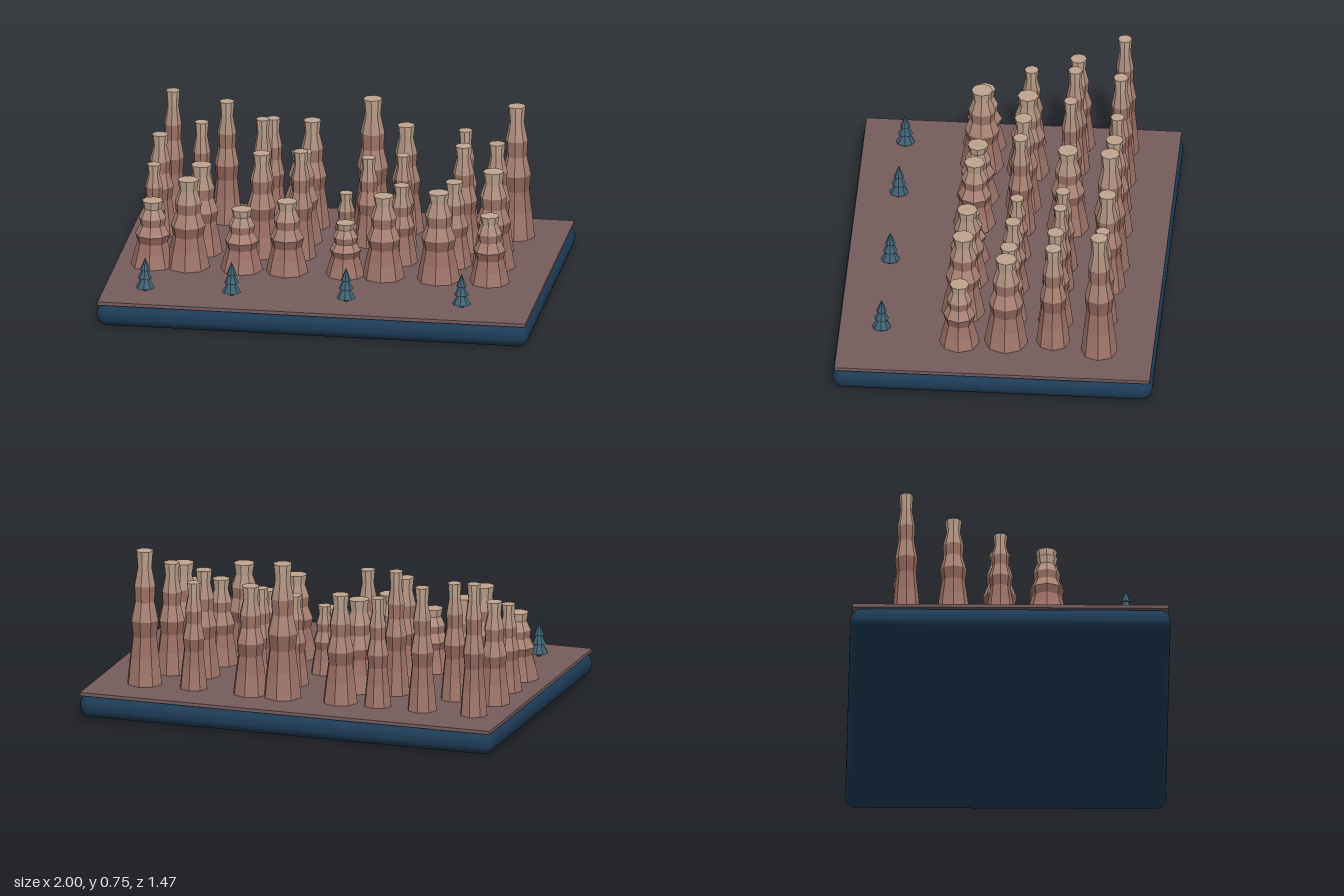
import * as THREE from 'three';
import { RoundedBoxGeometry } from 'three/addons/geometries/RoundedBoxGeometry.js';

const paint = (color, flatShading = false) => {
  const m = new THREE.MeshStandardMaterial({ flatShading });
  m.color.set(color);
  return m;
};
const navy = paint(0x1f3b55);
const soil = paint(0x755c5c);
const needle = paint(0x3f6273, true);
const bark = paint(0x2c4452, true);
const strata = [0xa0776c, 0x9a7066, 0x8f665c, 0xa98476, 0x9c7468, 0xae9080, 0xbda48f].map(c => paint(c, true));

// Spire profile: fraction of height, fraction of base radius
const profile = [[0, 1], [0.2, 0.85], [0.36, 0.7], [0.48, 0.8], [0.62, 0.57], [0.74, 0.62], [0.88, 0.41], [1, 0.49]];
const ground = 0.12;

// Rows of spires from back to front: [x, top height, base radius]
const rows = [
  { z: -0.475, spires: [[-0.83, 0.74, 0.065], [-0.58, 0.7, 0.07], [-0.365, 0.63, 0.065], [-0.185, 0.63, 0.083],
    [0.095, 0.75, 0.09], [0.25, 0.63, 0.083], [0.525, 0.62, 0.066], [0.762, 0.75, 0.083]] },
  { z: -0.26, spires: [[-0.855, 0.6, 0.077], [-0.663, 0.67, 0.066], [-0.38, 0.7, 0.066], [-0.2, 0.55, 0.097],
    [0.11, 0.54, 0.068], [0.27, 0.56, 0.064], [0.55, 0.62, 0.08], [0.705, 0.64, 0.077]] },
  { z: -0.045, spires: [[-0.85, 0.53, 0.066], [-0.63, 0.54, 0.098], [-0.352, 0.61, 0.083], [-0.17, 0.63, 0.07],
    [0.04, 0.44, 0.064], [0.297, 0.49, 0.075], [0.54, 0.52, 0.083], [0.722, 0.58, 0.1]] },
  { z: 0.168, spires: [[-0.823, 0.43, 0.1], [-0.658, 0.54, 0.1], [-0.41, 0.41, 0.098], [-0.2, 0.46, 0.097],
    [0.07, 0.37, 0.09], [0.247, 0.51, 0.097], [0.502, 0.54, 0.1], [0.738, 0.44, 0.092]] },
];

function add(parent, name, geometry, material, x = 0, y = 0, z = 0) {
  const mesh = new THREE.Mesh(geometry, material);
  mesh.name = name;
  mesh.position.set(x, y, z);
  parent.add(mesh);
  return mesh;
}

// Faceted rock column made of stacked strata
function rockSpire(height, radius) {
  const spire = new THREE.Group();
  spire.name = 'rockSpire';
  for (let i = 0; i < profile.length - 1; i++) {
    const [t0, r0] = profile[i], [t1, r1] = profile[i + 1];
    const last = i === profile.length - 2;
    const layer = new THREE.CylinderGeometry(r1 * radius, r0 * radius, (t1 - t0) * height, 8, 1, !last);
    add(spire, last ? 'capStone' : 'stratum', layer, strata[i], 0, (t0 + t1) / 2 * height, 0);
  }
  return spire;
}

// Small conifer with a trunk and three tiers
function pineTree() {
  const tree = new THREE.Group();
  tree.name = 'pineTree';
  add(tree, 'trunk', new THREE.CylinderGeometry(0.009, 0.011, 0.03, 6), bark, 0, 0.015, 0);
  for (const [r, h, y] of [[0.044, 0.075, 0.015], [0.034, 0.065, 0.06], [0.024, 0.06, 0.1]])
    add(tree, 'foliage', new THREE.ConeGeometry(r, h, 8), needle, 0, y + h / 2, 0);
  return tree;
}

export function createModel() {
  const model = new THREE.Group();
  model.name = 'rockSpireDiorama';

  // Rounded plinth with a thin ground sheet
  add(model, 'plinth', new RoundedBoxGeometry(2, 0.107, 1.466, 5, 0.05), navy, 0, 0.0535, 0);
  add(model, 'groundSheet', new THREE.BoxGeometry(1.98, 0.016, 1.446), soil, 0, ground - 0.008, 0);

  for (const { z, spires } of rows)
    for (const [x, top, radius] of spires) {
      const spire = rockSpire(top - ground, radius);
      spire.position.set(x, ground, z);
      model.add(spire);
    }

  for (const x of [-0.8, -0.4, 0.13, 0.665]) {
    const tree = pineTree();
    tree.position.set(x, ground, 0.53);
    model.add(tree);
  }
  return model;
}
